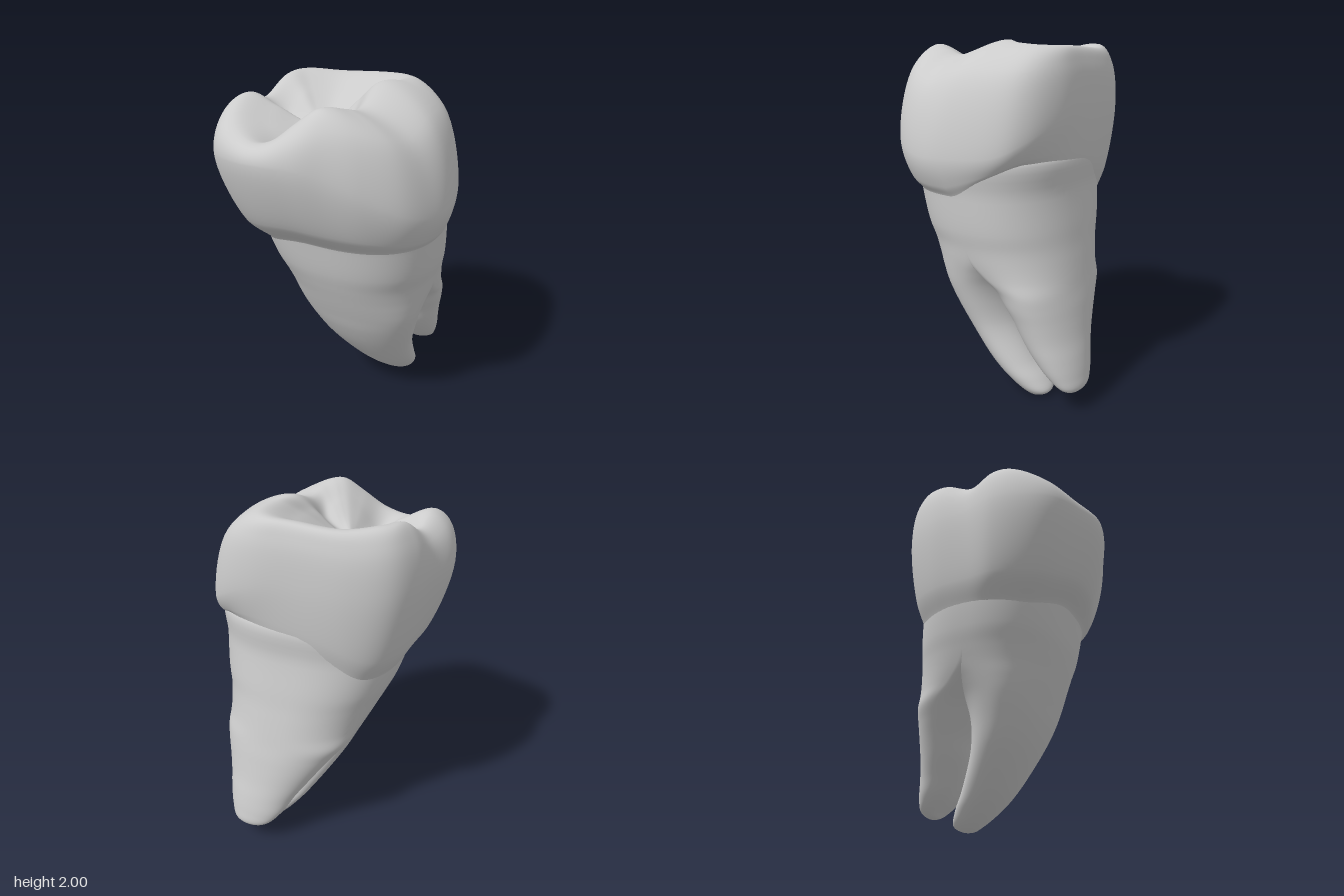
import * as THREE from 'three';
import { mergeVertices } from 'three/addons/utils/BufferGeometryUtils.js';

const V = (x, y, z) => new THREE.Vector3(x, y, z);
const { lerp, clamp, smoothstep: smooth } = THREE.MathUtils;
const material = new THREE.MeshStandardMaterial({ color: 0xcccccc, side: THREE.DoubleSide });

// Closed skin: column(u) lists points from bottom to top, smoothed by a spline
function skin(name, column, cols, rows) {
  const pos = [], idx = [];
  for (let i = 0; i < cols; i++) {
    const curve = new THREE.CatmullRomCurve3(column(i / cols));
    for (let j = 0; j <= rows; j++) pos.push(...curve.getPoint(j / rows).toArray());
  }
  for (let i = 0; i < cols; i++) {
    for (let j = 0; j < rows; j++) {
      const a = i * (rows + 1) + j, b = ((i + 1) % cols) * (rows + 1) + j;
      idx.push(a, a + 1, b, b, a + 1, b + 1);
    }
  }
  let geo = new THREE.BufferGeometry();
  geo.setAttribute('position', new THREE.Float32BufferAttribute(pos, 3));
  geo.setIndex(idx);
  geo = mergeVertices(geo, 1e-4);
  geo.computeVertexNormals();
  const mesh = new THREE.Mesh(geo, material);
  mesh.name = name;
  return mesh;
}

// Rounded section; angle 0 is the back, turning towards +x. Front and back halves meet at zMid.
// pinch hollows the side that faces the other root (dir = sign of its z).
function section([y, x0, x1, z0, z1, zMid = (z0 + z1) / 2], angle, pinch = 0, dir = -1) {
  const power = lerp(2.05, 2.45, smooth(y, 0.3, 1.2));
  const round = (v) => Math.sign(v) * Math.abs(v) ** (2 / power);
  const sx = round(Math.sin(angle));
  let sz = -round(Math.cos(angle));
  if (sz * dir > 0) sz *= 1 - pinch * Math.exp(-sx * sx * 8);
  const depth = sz > 0 ? z1 - zMid : zMid - z0;
  return V((x0 + x1) / 2 + sx * (x1 - x0) / 2, y, zMid + sz * depth);
}

// Levels: y, xMin, xMax, zMin, zMax and, where the roots are joined, zMid
const trunkLevels = [
  [1.4, -0.5, 0.59, -0.455, 0.47, 0.01],
  [1.2, -0.49, 0.585, -0.467, 0.43, -0.02],
  [1.0, -0.435, 0.57, -0.498, 0.385, -0.055],
  [0.9, -0.39, 0.55, -0.513, 0.35, -0.08],
];
// Each root owns one half of the trunk; its hidden half shrinks on the way down
const trunkHalf = (column, values) =>
  trunkLevels.map((level, i) => level.map((v, c) => (c === column ? values[i] : v)));
const frontLevels = [
  ...trunkHalf(3, [-0.42, -0.41, -0.39, -0.36]),
  [0.82, -0.35, 0.535, -0.32, 0.318, -0.06],
  [0.74, -0.31, 0.515, -0.27, 0.285, -0.015],
  [0.66, -0.27, 0.495, -0.232, 0.25],
  [0.55, -0.215, 0.465, -0.215, 0.2],
  [0.4, -0.14, 0.425, -0.237, 0.11],
  [0.2, -0.01, 0.39, -0.34, -0.05],
  [0.1, 0.07, 0.36, -0.41, -0.16],
  [0.03, 0.15, 0.32, -0.44, -0.26],
  [0.0, 0.22, 0.28, -0.39, -0.32],
];
const backLevels = [
  ...trunkHalf(4, [0.3, 0.24, 0.15, 0.09]),
  [0.82, -0.35, 0.535, -0.528, 0.03, -0.13],
  [0.74, -0.305, 0.515, -0.543, -0.04, -0.22],
  [0.66, -0.26, 0.495, -0.558, -0.11],
  [0.58, -0.2, 0.48, -0.575, -0.17],
  [0.5, -0.14, 0.46, -0.59, -0.225],
  [0.4, -0.07, 0.44, -0.61, -0.28],
  [0.3, 0, 0.42, -0.635, -0.355],
  [0.2, 0.06, 0.39, -0.655, -0.45],
  [0.13, 0.13, 0.35, -0.66, -0.54],
  [0.1, 0.21, 0.28, -0.63, -0.58],
];

function root(name, levels, dir, pinch) {
  const end = (l) => V((l[1] + l[2]) / 2, l[0], (l[3] + l[4]) / 2);
  return skin(name, (u) => [
    end(levels[0]),
    ...levels.map((l) => section(l, u * Math.PI * 2,
      pinch * smooth(l[0], 0.05, 0.4) * (1 - smooth(l[0], 0.6, 0.85)), dir)),
    end(levels[levels.length - 1]),
  ].reverse(), 80, 84);
}

// Crown guide points, from the back round by +x: widest bulge (x, y, z), then rim crest (x, y, z)
const crownGuide = [
  [0, 1.65, -0.495, 0, 1.965, -0.43],
  [0.25, 1.6, -0.49, 0.15, 1.97, -0.42],
  [0.46, 1.5, -0.42, 0.24, 1.975, -0.34],
  [0.58, 1.42, -0.28, 0.24, 1.985, -0.21],
  [0.65, 1.4, 0, 0.18, 1.995, -0.07],
  [0.63, 1.4, 0.2, 0.2, 1.915, 0.18],
  [0.55, 1.45, 0.38, 0.2, 1.94, 0.33],
  [0.38, 1.55, 0.52, 0.16, 1.965, 0.43],
  [0.2, 1.63, 0.6, 0.1, 1.955, 0.49],
  [0.05, 1.68, 0.655, 0, 1.88, 0.53],
  [-0.12, 1.68, 0.665, -0.12, 1.79, 0.56],
  [-0.3, 1.66, 0.625, -0.26, 1.765, 0.54],
  [-0.5, 1.64, 0.54, -0.42, 1.82, 0.45],
  [-0.61, 1.62, 0.4, -0.5, 1.9, 0.3],
  [-0.655, 1.62, 0.22, -0.51, 1.915, 0.19],
  [-0.605, 1.62, 0.03, -0.5, 1.86, 0.04],
  [-0.59, 1.62, -0.2, -0.49, 1.95, -0.15],
  [-0.5, 1.62, -0.38, -0.44, 1.965, -0.3],
  [-0.3, 1.63, -0.475, -0.25, 1.95, -0.41],
];

function crown() {
  const loop = (k) => new THREE.CatmullRomCurve3(
    crownGuide.map((g) => V(g[k], g[k + 1], g[k + 2])), true, 'catmullrom');
  const bulgeLoop = loop(0), rimLoop = loop(3);
  const pit = V(-0.1, 1.74, 0.08);
  // Chewing-surface grooves: guide position, depth
  const grooves = [[5, 0.045], [10.6, 0.05], [15, 0.05]];
  const mix = (a, b, t, ty) => V(lerp(a.x, b.x, t), lerp(a.y, b.y, ty), lerp(a.z, b.z, t));

  return skin('crown', (u) => {
    const bulge = bulgeLoop.getPoint(u), rim = rimLoop.getPoint(u);
    // Neck line rises towards the back left and dips on the right side
    const neckY = 1.19 + 0.17 * clamp(-bulge.z / 0.45, 0, 1) * smooth(bulge.x, -0.5, 0.25)
      - 0.09 * smooth(-bulge.x, 0, 0.6);
    const k = neckY > 1.2 ? 0 : 1;
    const t = (trunkLevels[k][0] - neckY) / 0.2;
    const level = trunkLevels[k].map((v, i) => lerp(v, trunkLevels[k + 1][i], t));
    const neck = section(level, Math.atan2(bulge.x, -bulge.z));
    const tuck = V(neck.x * 0.97, neckY - 0.04, neck.z * 0.97);
    const groove = (width) => grooves.reduce(
      (sum, [g, depth]) => sum + depth * Math.exp(-(((u * 19 - g) / width) ** 2)), 0);
    const inner = mix(rim, pit, 0.38, 0.33), deep = mix(rim, pit, 0.72, 0.75);
    inner.y -= groove(0.8);
    deep.y -= groove(1.2) * 0.4;
    return [tuck, neck, mix(neck, bulge, 0.5, 0.26), bulge, mix(bulge, rim, 0.3, 0.72),
      rim, inner, deep, pit];
  }, 152, 72);
}

export function createModel() {
  const tooth = new THREE.Group();
  tooth.name = 'molar';
  tooth.add(
    crown(),
    root('frontRoot', frontLevels, -1, 0.25),
    root('backRoot', backLevels, 1, 0.15),
  );
  return tooth;
}
